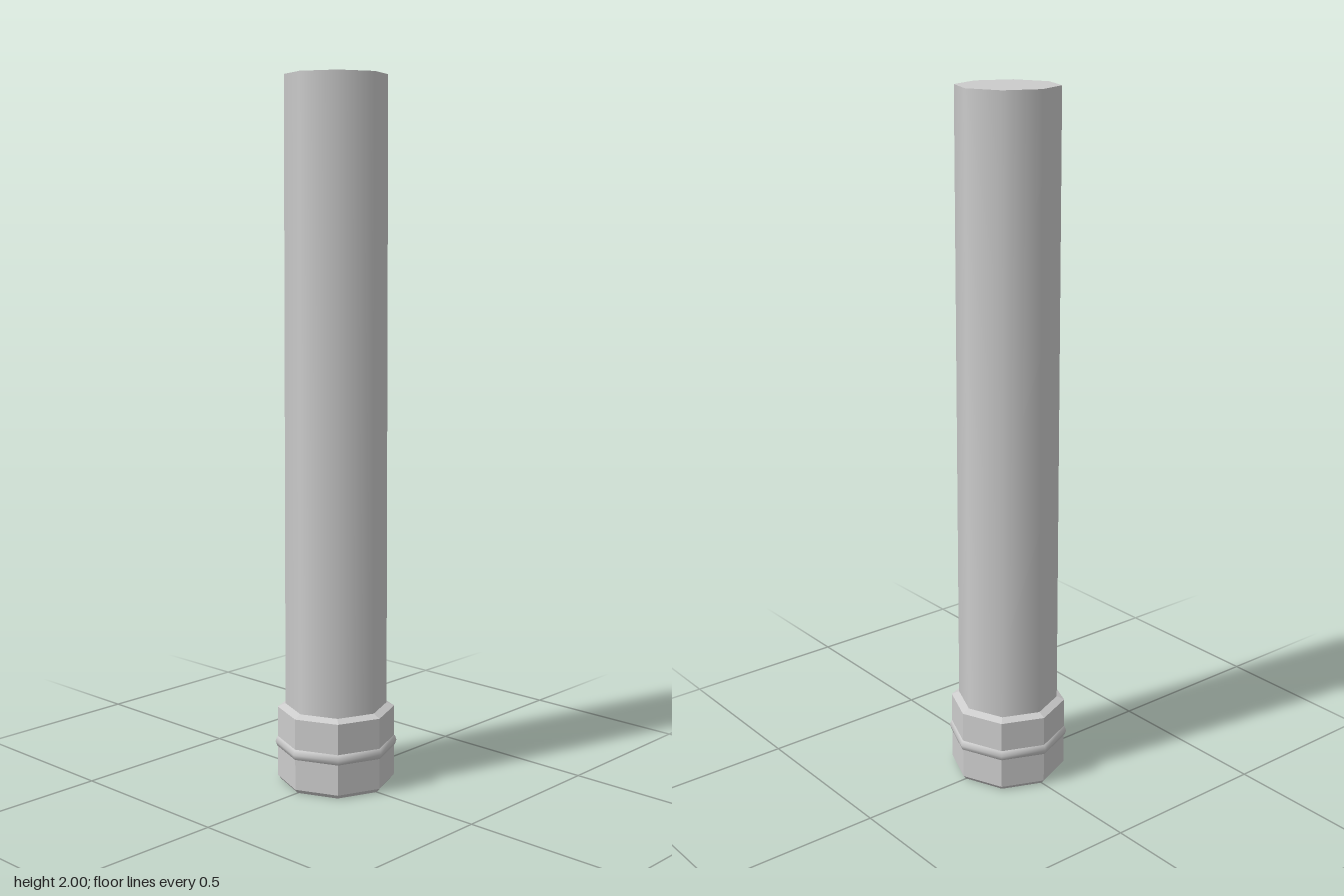
import * as THREE from 'three';

const SIDES = 8;

export function createModel() {
  const group = new THREE.Group();
  const smooth = new THREE.MeshStandardMaterial({ color: 0xcccccc });
  const faceted = new THREE.MeshStandardMaterial({ color: 0xcccccc, flatShading: true });

  const add = (name, geometry, material, y = 0) => {
    const mesh = new THREE.Mesh(geometry, material);
    mesh.name = name;
    mesh.position.y = y;
    group.add(mesh);
  };

  // Long, slightly tapered shaft, closed at both ends; its foot sits inside the collar
  const bottom = 0.115, top = 2;
  add('shaft', new THREE.CylinderGeometry(0.142, 0.146, top - bottom, SIDES), smooth, (top + bottom) / 2);

  // Hollow collar with chamfered rims, open underneath
  const profile = [
    [0.143, 0.228], [0.143, 0.012], [0.153, 0],
    [0.158, 0], [0.168, 0.012], [0.168, 0.218], [0.146, 0.228],
  ].map(([r, y]) => new THREE.Vector2(r, y));
  const collar = new THREE.LatheGeometry(profile, SIDES).toNonIndexed();
  collar.computeVertexNormals();
  add('collar', collar, faceted);

  // Rounded band running through the collar wall
  const band = new THREE.TorusGeometry(0.153, 0.022, 10, SIDES).rotateX(Math.PI / 2);
  add('collarBand', band, smooth, 0.115);

  return group;
}
